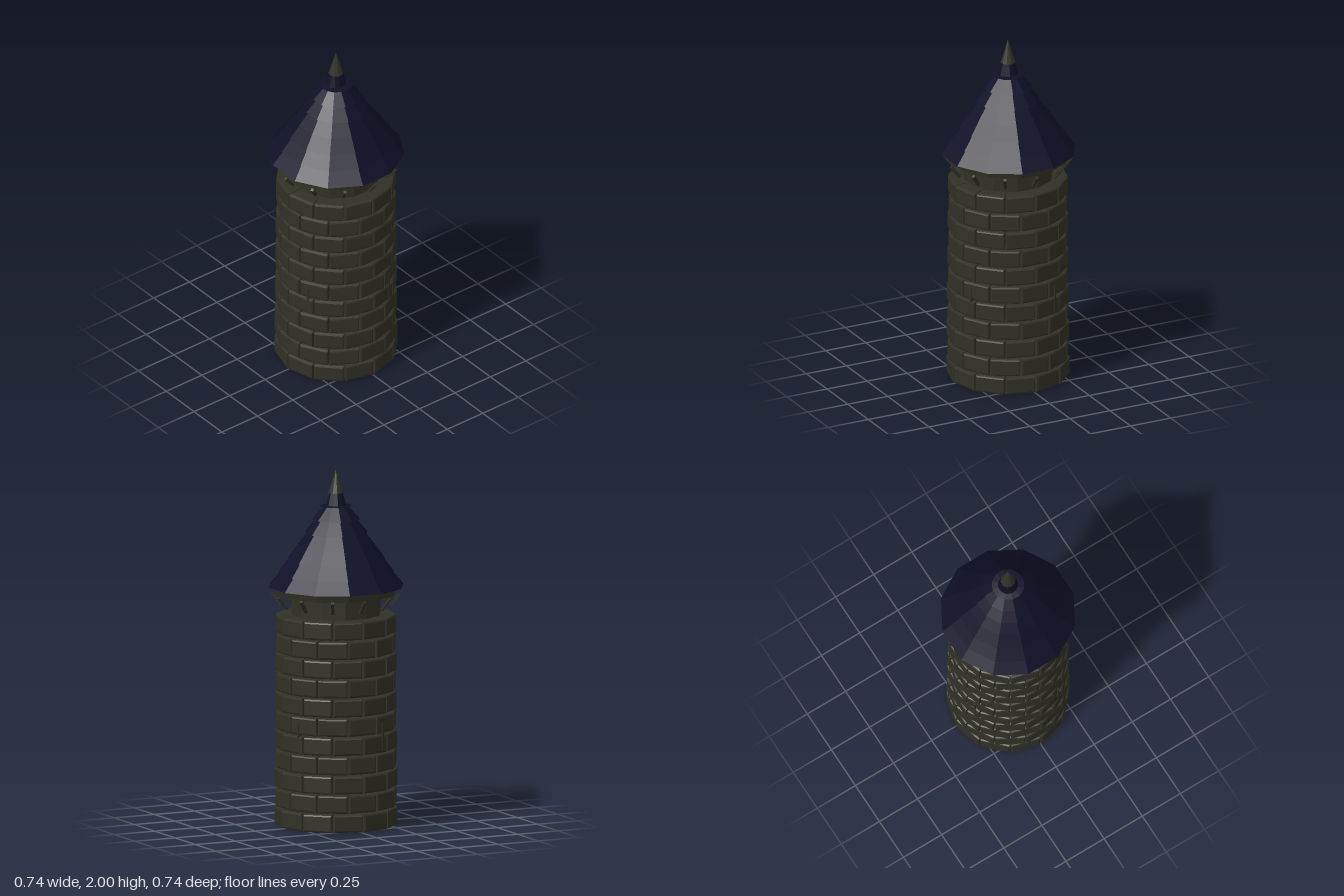
import * as THREE from 'three';

const SIDES = 12;
const STEP = (Math.PI * 2) / SIDES;
const COS = Math.cos(STEP / 2);

const stone = new THREE.MeshStandardMaterial({ color: 0x323126 });
stone.name = 'dark stone';
const slate = new THREE.MeshStandardMaterial({ color: 0x0f0f27 });
slate.name = 'midnight blue slate';

function mesh(name, geometry, material) {
  const m = new THREE.Mesh(geometry, material);
  m.name = name;
  return m;
}

// Faceted geometry with one normal per face
function facet(geometry) {
  const g = geometry.index ? geometry.toNonIndexed() : geometry;
  g.computeVertexNormals();
  return g;
}

// Twelve-sided drum whose flats face the axes; radii are measured to the flats
function drum(name, rTop, rBottom, y0, y1, material) {
  const g = new THREE.CylinderGeometry(rTop / COS, rBottom / COS, y1 - y0, SIDES);
  g.rotateY(STEP / 2).translate(0, (y0 + y1) / 2, 0);
  return mesh(name, facet(g), material);
}

// Wedge-shaped brick with bevelled edges, outer face at z = outer
function brickGeometry(outer, height) {
  const bevel = 0.011;
  const inner = 0.225;
  const w = outer * Math.tan(STEP / 2) - 0.003 - bevel;
  const h = height / 2 - bevel;
  const shape = new THREE.Shape([
    new THREE.Vector2(-w, -h), new THREE.Vector2(w, -h),
    new THREE.Vector2(w, h), new THREE.Vector2(-w, h),
  ]);
  const g = new THREE.ExtrudeGeometry(shape, {
    depth: outer - inner - 2 * bevel, bevelEnabled: true,
    bevelSize: bevel, bevelThickness: bevel, bevelSegments: 2,
  });
  g.translate(0, 0, inner + bevel);
  // Narrow the brick toward the tower axis
  const p = g.attributes.position;
  for (let i = 0; i < p.count; i++) p.setX(i, (p.getX(i) * p.getZ(i)) / outer);
  return facet(g);
}

export function createModel() {
  const tower = new THREE.Group();
  tower.name = 'tower';

  // Inner wall
  tower.add(drum('core', 0.243, 0.252, 0, 1.31, stone));

  // Staggered courses of bricks, narrowing slightly upward
  const rows = 11;
  const pitch = 0.108;
  for (let r = 0; r < rows; r++) {
    const course = new THREE.Group();
    course.name = 'brickCourse';
    const geometry = brickGeometry(0.334 - r * 0.0009, 0.1);
    for (let i = 0; i < SIDES; i++) {
      const brick = mesh('brick', geometry, stone);
      brick.rotation.y = (i + (r % 2 ? 0 : 0.5)) * STEP;
      course.add(brick);
    }
    course.position.y = 0.056 + r * pitch;
    tower.add(course);
  }

  // Narrow slits around the middle of the wall
  for (let i = 0; i < 4; i++) {
    const slit = new THREE.Group();
    slit.name = 'wallSlit';
    const bar = mesh('slitBar', new THREE.BoxGeometry(0.012, 0.16, 0.03), stone);
    bar.position.set(0, 0.53, 0.322);
    slit.add(bar);
    slit.rotation.y = 0.42 + (i * Math.PI) / 2;
    tower.add(slit);
  }

  // Collar under the eaves
  tower.add(drum('collar', 0.333, 0.325, 1.3, 1.345, stone));

  // Slanted braces under the collar
  const braceGeometry = new THREE.BoxGeometry(0.015, 0.085, 0.016);
  braceGeometry.rotateX(0.66).translate(0, 1.267, 0.328);
  for (let i = 0; i < SIDES; i++) {
    const brace = mesh('brace', braceGeometry, stone);
    brace.rotation.y = i * STEP;
    tower.add(brace);
  }

  // Overlapping roof tiers: [bottom radius, top radius]
  const tiers = [
    [0.368, 0.305], [0.316, 0.257], [0.267, 0.211], [0.214, 0.155],
    [0.172, 0.108], [0.13, 0.06], [0.09, 0.042],
  ];
  const tierHeight = 0.075;
  const roof = new THREE.Group();
  roof.name = 'roof';
  tiers.forEach(([bottom, top], i) => {
    const y = 1.343 + i * tierHeight;
    if (i < 6) roof.add(drum('roofTier', top, bottom, y, y + tierHeight + 0.002, slate));
  });
  // Steep cap below the tip
  roof.add(drum('roofCapSkirt', 0.055, 0.088, 1.793, 1.797, slate));
  roof.add(drum('roofCap', 0.036, 0.055, 1.795, 1.868, slate));
  tower.add(roof);

  // Pointed tip
  const tip = new THREE.ConeGeometry(0.042, 0.135, 10);
  tip.translate(0, 1.9325, 0);
  tower.add(mesh('spireTip', facet(tip), stone));

  return tower;
}
